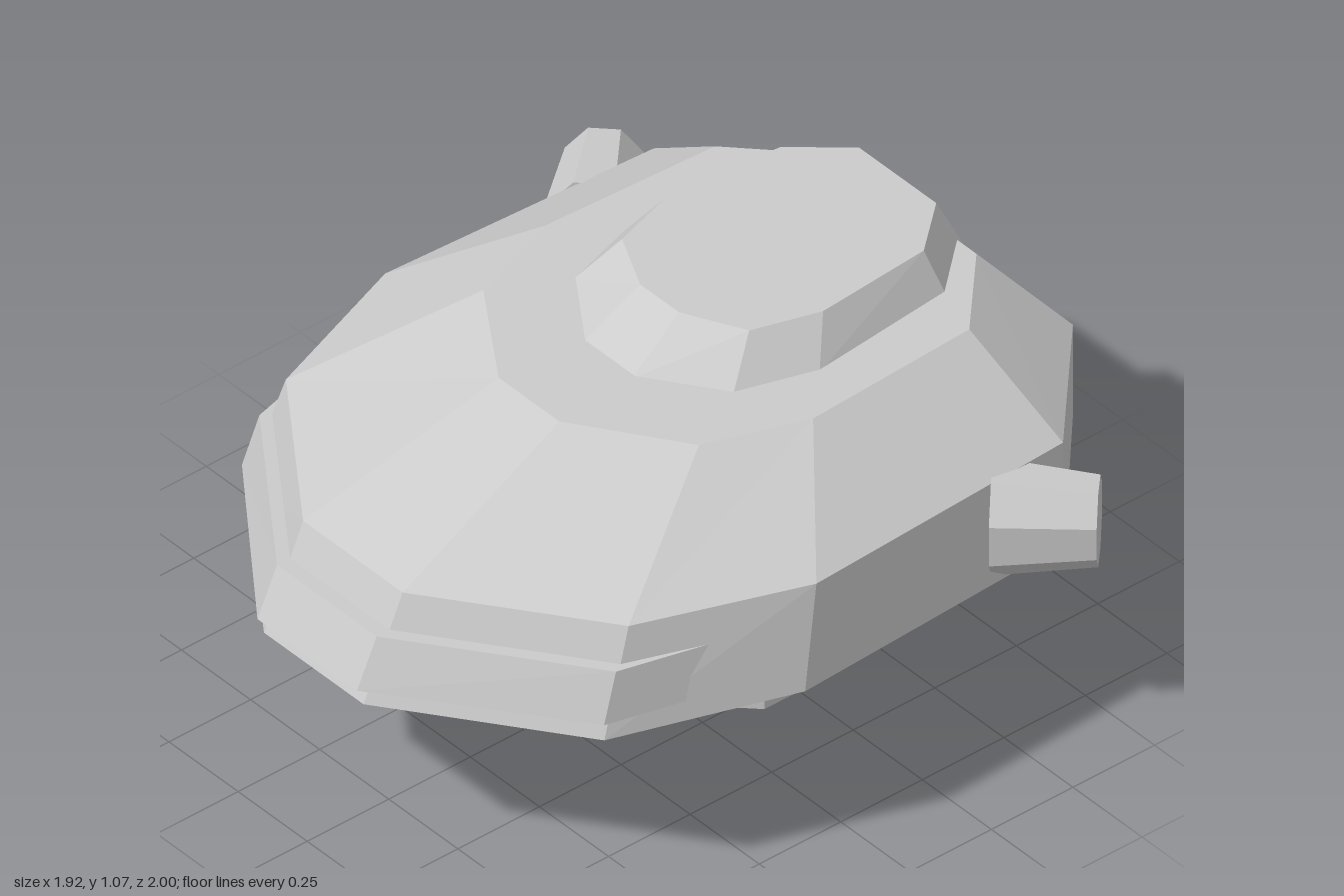
import * as THREE from 'three';

const material = new THREE.MeshStandardMaterial({ color: 0xcccccc, flatShading: true });

function addMesh(parent, name, geometry) {
  const mesh = new THREE.Mesh(geometry, material);
  mesh.name = name;
  parent.add(mesh);
  return mesh;
}

// Closed faceted solid through mirrored outlines, listed bottom to top.
// Each ring is { y, half: [[x, z, ownY?], ...] } running front to back on +x.
function loft(rings) {
  const loops = rings.map(({ y, half }) => {
    const right = half.map(([x, z, ownY = y]) => [x, ownY, z]);
    const left = right.map(([x, py, z]) => [-x, py, z]).reverse();
    return [...right, ...left];
  });
  const n = loops[0].length;
  const index = [];
  for (let r = 0; r < loops.length - 1; r++) {
    for (let i = 0; i < n; i++) {
      const a = r * n + i, b = r * n + (i + 1) % n;
      index.push(a, b, b + n, a, b + n, a + n);
    }
  }
  const top = (loops.length - 1) * n;
  for (let i = 1; i < n - 1; i++) {
    index.push(0, i + 1, i, top, top + i, top + i + 1);
  }
  const indexed = new THREE.BufferGeometry();
  indexed.setAttribute('position', new THREE.Float32BufferAttribute(loops.flat(2), 3));
  indexed.setIndex(index);
  const geometry = indexed.toNonIndexed();
  geometry.computeVertexNormals();
  return geometry;
}

export function createModel() {
  const model = new THREE.Group();
  model.name = 'turret';

  // Main shell: tapered belly, upright rim and sloped roof
  addMesh(model, 'turretShell', loft([
    { y: 0.27, half: [[0.13, 0.51], [0.45, 0.3], [0.55, -0.03], [0.52, -0.6], [0.28, -0.87]] },
    { y: 0.5, half: [[0.18, 0.98], [0.65, 0.64], [0.81, 0.16], [0.77, -0.67], [0.41, -1]] },
    { y: 0.77, half: [[0.18, 0.86], [0.62, 0.54], [0.78, 0.1], [0.74, -0.69], [0.41, -1]] },
    { y: 0.965, half: [[0.11, 0.32], [0.39, 0.13], [0.485, -0.14], [0.46, -0.64], [0.25, -0.84]] },
  ]));

  // Raised roof hatch, its rear edge running down onto the back slope
  addMesh(model, 'roofHatch', loft([
    { y: 0.96, half: [[0.09, 0.08], [0.29, -0.06], [0.355, -0.27], [0.315, -0.69], [0.18, -0.87, 0.925]] },
    { y: 1.065, half: [[0.07, -0.08], [0.23, -0.16], [0.285, -0.34], [0.26, -0.67], [0.14, -0.81]] },
  ]));

  // Raised band across the nose, fading into the rim at both ends
  addMesh(model, 'frontBand', loft([
    { y: 0.55, half: [[0.18, 1], [0.655, 0.645], [0.71, 0.43]] },
    { y: 0.68, half: [[0.18, 0.94], [0.645, 0.6], [0.712, 0.34]] },
  ]));

  // Eight-sided mounting post
  const post = new THREE.CylinderGeometry(0.33, 0.33, 0.29, 8);
  post.rotateY(Math.PI / 8);
  addMesh(model, 'mountingPost', post).position.set(0, 0.145, -0.27);

  // Tapered pods pointing outward and back
  for (const side of [1, -1]) {
    const inner = new THREE.Vector3(side * 0.72, 0.64, -0.49);
    const outer = new THREE.Vector3(side * 0.898, 0.64, -0.67);
    outer.x -= side * 0.003;
    const axis = outer.clone().sub(inner);
    const geometry = new THREE.CylinderGeometry(0.116, 0.148, axis.length(), 8);
    geometry.rotateY(Math.PI / 8);
    geometry.scale(0.87, 1, 1);
    geometry.rotateX(Math.PI / 2);
    const pod = addMesh(model, side > 0 ? 'leftPod' : 'rightPod', geometry);
    pod.position.copy(inner).add(outer).multiplyScalar(0.5);
    pod.rotation.y = Math.atan2(axis.x, axis.z);
  }

  return model;
}
